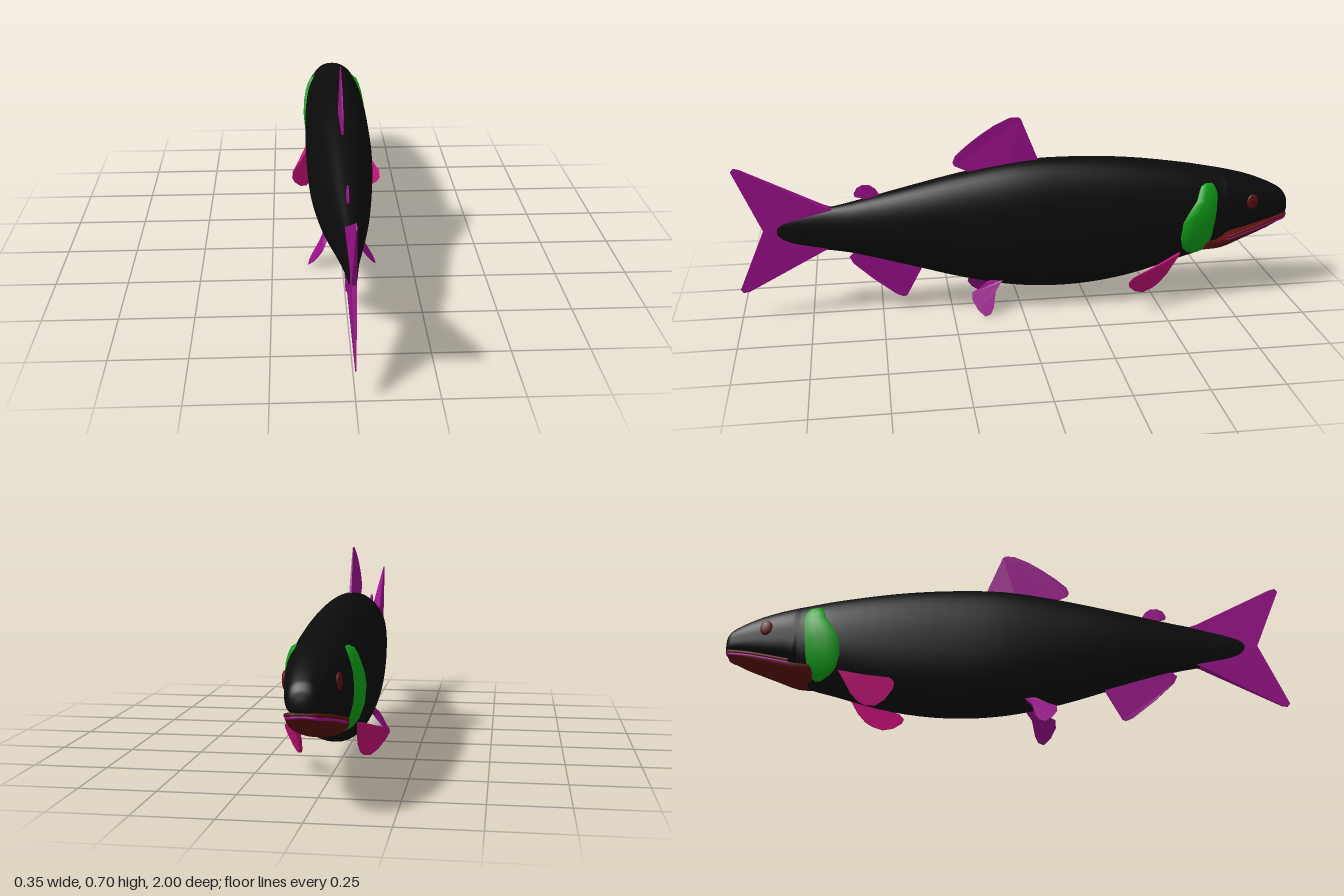
import * as THREE from 'three';

const paint = (name, color, side = THREE.FrontSide) => {
  const m = new THREE.MeshStandardMaterial({ color, side });
  m.name = name;
  return m;
};

// Body stations: z, top, bottom, half width
const BODY = [
  [-1, 0.345, 0.318, 0.012], [-0.992, 0.375, 0.308, 0.036], [-0.97, 0.4, 0.302, 0.05], [-0.9, 0.435, 0.284, 0.07],
  [-0.83, 0.46, 0.266, 0.083], [-0.75, 0.48, 0.243, 0.096], [-0.72, 0.487, 0.192, 0.1], [-0.6, 0.51, 0.15, 0.113],
  [-0.4, 0.538, 0.092, 0.12], [-0.2, 0.55, 0.066, 0.12], [0, 0.545, 0.074, 0.116], [0.2, 0.512, 0.115, 0.1],
  [0.4, 0.467, 0.175, 0.078], [0.6, 0.42, 0.232, 0.047], [0.7, 0.4, 0.25, 0.029], [0.8, 0.378, 0.268, 0.017],
  [0.88, 0.365, 0.288, 0.007],
];
const JAW = [
  [-0.988, 0.299, 0.292, 0.034], [-0.95, 0.288, 0.27, 0.053], [-0.9, 0.275, 0.248, 0.067], [-0.82, 0.255, 0.217, 0.082],
  [-0.74, 0.236, 0.186, 0.092], [-0.67, 0.23, 0.178, 0.085],
];

// Smooth interpolation of one column of a station table
function sample(table, z, col) {
  const last = table.length - 1;
  let i = 0;
  while (i < last - 1 && z > table[i + 1][0]) i++;
  const slope = (k) => {
    const a = table[Math.max(0, k - 1)], b = table[Math.min(last, k + 1)];
    return (b[col] - a[col]) / (b[0] - a[0]);
  };
  const h = table[i + 1][0] - table[i][0];
  const t = (z - table[i][0]) / h, t2 = t * t, t3 = t2 * t;
  return (2 * t3 - 3 * t2 + 1) * table[i][col] + (t3 - 2 * t2 + t) * h * slope(i)
    + (3 * t2 - 2 * t3) * table[i + 1][col] + (t3 - t2) * h * slope(i + 1);
}

// Cross-section at z; the head is squarer underneath, above the mouth
function section(z) {
  const top = sample(BODY, z, 1), bottom = sample(BODY, z, 2);
  return { z, top, bottom, mid: (top + bottom) / 2, w: sample(BODY, z, 3), n: z < -0.74 ? 3.5 : 2.2 };
}

function bodyHalfWidth(z, y) {
  const s = section(z);
  const t = Math.min(1, Math.abs(y - s.mid) / (s.top - s.mid));
  const n = y < s.mid ? s.n : 2.2;
  return s.w * Math.pow(1 - Math.pow(t, n), 1 / n);
}

// Closed skin over a list of sections
function loft(sections, sides = 40) {
  const pos = [], idx = [];
  const rings = [[sections[0], 0], ...sections.map((s) => [s, 1]), [sections[sections.length - 1], 0]];
  rings.forEach(([s, k], r) => {
    for (let j = 0; j < sides; j++) {
      const a = (j / sides) * Math.PI * 2, c = Math.cos(a), d = Math.sin(a);
      const p = 2 / (d < 0 ? s.n : 2.2);
      const h = d < 0 ? s.mid - s.bottom : s.top - s.mid;
      pos.push(k * s.w * Math.sign(c) * Math.abs(c) ** p, s.mid + k * h * Math.sign(d) * Math.abs(d) ** p, s.z);
      if (r < rings.length - 1) {
        const q = r * sides + j, e = r * sides + ((j + 1) % sides);
        idx.push(q, e, q + sides, e, e + sides, q + sides);
      }
    }
  });
  const g = new THREE.BufferGeometry();
  g.setAttribute('position', new THREE.Float32BufferAttribute(pos, 3));
  g.setIndex(idx);
  g.computeVertexNormals();
  return g;
}

function stations(table, steps) {
  const out = [];
  for (let i = 0; i < table.length - 1; i++) {
    for (let k = 0; k < steps; k++) out.push(THREE.MathUtils.lerp(table[i][0], table[i + 1][0], k / steps));
  }
  return [...out, table[table.length - 1][0]];
}

// Fin from a z,y outline, thick near its root and sharp at its rim
function finGeometry(outline, root, thick, reach, midX = () => 0) {
  const shape = new THREE.Shape(outline.map(([z, y]) => new THREE.Vector2(z, y)));
  const g = new THREE.ExtrudeGeometry(shape, { depth: 1, bevelEnabled: false });
  const p = g.attributes.position;
  for (let i = 0; i < p.count; i++) {
    const z = p.getX(i), y = p.getY(i), side = p.getZ(i) - 0.5;
    const t = thick * Math.max(0.08, 1 - Math.hypot(z - root[0], y - root[1]) / reach);
    p.setXYZ(i, midX(z, y) - side * t, y, z);
  }
  g.computeVertexNormals();
  return g;
}

// Crescent gill plate standing slightly proud of the body; rows are y, front z, back z
function gillGeometry(s) {
  const rows = [
    [0.18, -0.66, -0.64], [0.195, -0.683, -0.605], [0.215, -0.693, -0.585], [0.26, -0.7, -0.572], [0.32, -0.706, -0.578],
    [0.36, -0.709, -0.6], [0.4, -0.711, -0.628], [0.425, -0.709, -0.636], [0.445, -0.7, -0.645], [0.455, -0.69, -0.662],
  ];
  const cols = [[0, -0.006], [0.06, 0.004], [0.35, 0.009], [0.65, 0.012], [0.97, 0.01], [1, -0.006]];
  const pos = [], idx = [];
  rows.forEach(([y, front, back], r) => cols.forEach(([v, lift], c) => {
    const z = THREE.MathUtils.lerp(front, back, v);
    const edge = r === 0 || r === rows.length - 1 ? Math.min(lift, 0.002) : lift;
    pos.push(s * (bodyHalfWidth(z, y) + edge), y, z);
    if (r < rows.length - 1 && c < cols.length - 1) {
      const a = r * cols.length + c, b = a + cols.length;
      if (s > 0) idx.push(a, b, a + 1, b, b + 1, a + 1);
      else idx.push(a, a + 1, b, b, a + 1, b + 1);
    }
  }));
  const g = new THREE.BufferGeometry();
  g.setAttribute('position', new THREE.Float32BufferAttribute(pos, 3));
  g.setIndex(idx);
  g.computeVertexNormals();
  return g;
}

// Line following the mouth edge around the snout
function mouthTube(drop, radius, inset) {
  const half = [[-0.755, 0.246], [-0.82, 0.264], [-0.9, 0.285], [-0.96, 0.299], [-0.985, 0.305]]
    .map(([z, y]) => [sample(BODY, z, 3) - inset, y - drop, z]);
  const pts = [...half, [0, 0.309 - drop, -0.994 + inset], ...half.slice().reverse().map(([x, y, z]) => [-x, y, z])];
  const curve = new THREE.CatmullRomCurve3(pts.map((p) => new THREE.Vector3(...p)));
  return new THREE.TubeGeometry(curve, 60, radius, 8);
}

export function createModel() {
  const group = new THREE.Group();
  const skin = paint('black skin', 0x0b0b0b);
  const red = paint('dark red', 0x5c0f0f);
  const purple = paint('purple fin', 0x9a0f8a);
  const pink = paint('pink fin', 0xc41076);
  const green = paint('green gill', 0x10a018, THREE.DoubleSide);
  const add = (name, geometry, material) => {
    const m = new THREE.Mesh(geometry, material);
    m.name = name;
    group.add(m);
    return m;
  };

  // Body and mouth
  add('body', loft(stations(BODY, 4).map(section), 48), skin);
  add('lowerJaw', loft(stations(JAW, 3).map((z) => {
    const top = sample(JAW, z, 1);
    return { z, top: top + 0.002, mid: top, bottom: sample(JAW, z, 2), w: sample(JAW, z, 3), n: 2.2 };
  })), red);
  add('upperLip', mouthTube(0, 0.006, 0.004), red);
  add('mouthLining', mouthTube(0.009, 0.005, 0.006), purple);

  // Fins on the centre line
  add('dorsalFin', finGeometry([[-0.07, 0.54], [-0.005, 0.7], [0.005, 0.705], [0.035, 0.704], [0.09, 0.678], [0.14, 0.645],
    [0.19, 0.607], [0.228, 0.573], [0.237, 0.55], [0.232, 0.537], [0.16, 0.505], [0.05, 0.5]], [0.05, 0.5], 0.022, 0.21), purple);
  add('adiposeFin', finGeometry([[0.495, 0.44], [0.51, 0.465], [0.53, 0.48], [0.555, 0.482], [0.575, 0.472], [0.586, 0.452],
    [0.583, 0.44], [0.56, 0.435], [0.54, 0.42]], [0.53, 0.43], 0.016, 0.07), purple);
  add('tailFin', finGeometry([[0.66, 0.4], [0.695, 0.413], [0.97, 0.557], [0.99, 0.562], [1, 0.55], [0.905, 0.33], [1, 0.11],
    [0.99, 0.098], [0.97, 0.101], [0.695, 0.25], [0.66, 0.26]], [0.69, 0.33], 0.04, 0.36), purple);
  add('analFin', finGeometry([[0.34, 0.19], [0.353, 0.165], [0.412, 0.052], [0.425, 0.048], [0.45, 0.06], [0.53, 0.125],
    [0.6, 0.19], [0.612, 0.215], [0.57, 0.25], [0.42, 0.24]], [0.45, 0.22], 0.03, 0.19), purple);

  // Paired fins, gills and eyes
  for (const [side, s] of [['left', 1], ['right', -1]]) {
    add(side + 'PelvicFin', finGeometry([[0.055, 0.122], [0.075, 0.108], [0.097, 0.08], [0.108, 0.03], [0.12, 0.01],
      [0.14, 0.003], [0.165, 0.025], [0.182, 0.055], [0.18, 0.078], [0.15, 0.09], [0.11, 0.115]],
    [0.08, 0.115], 0.024, 0.14, (z, y) => s * (0.05 + (0.11 - y) * 0.66)), purple);
    add(side + 'PectoralFin', finGeometry([[-0.575, 0.2], [-0.555, 0.165], [-0.53, 0.12], [-0.5, 0.085], [-0.475, 0.07],
      [-0.44, 0.062], [-0.405, 0.075], [-0.375, 0.105], [-0.37, 0.125], [-0.387, 0.143], [-0.47, 0.165]],
    [-0.56, 0.18], 0.018, 0.22, (z, y) => s * (0.1 + 0.482 * (z + 0.57) + 0.344 * (y - 0.19))), pink);
    add(side + 'GillCover', gillGeometry(s), green);
    const eye = add(side + 'Eye', new THREE.SphereGeometry(1, 20, 14), red);
    eye.scale.set(0.008, 0.028, 0.023);
    eye.position.set(s * (bodyHalfWidth(-0.845, 0.376) - 0.001), 0.376, -0.845);
    eye.rotation.y = s * 0.17;
  }
  return group;
}
